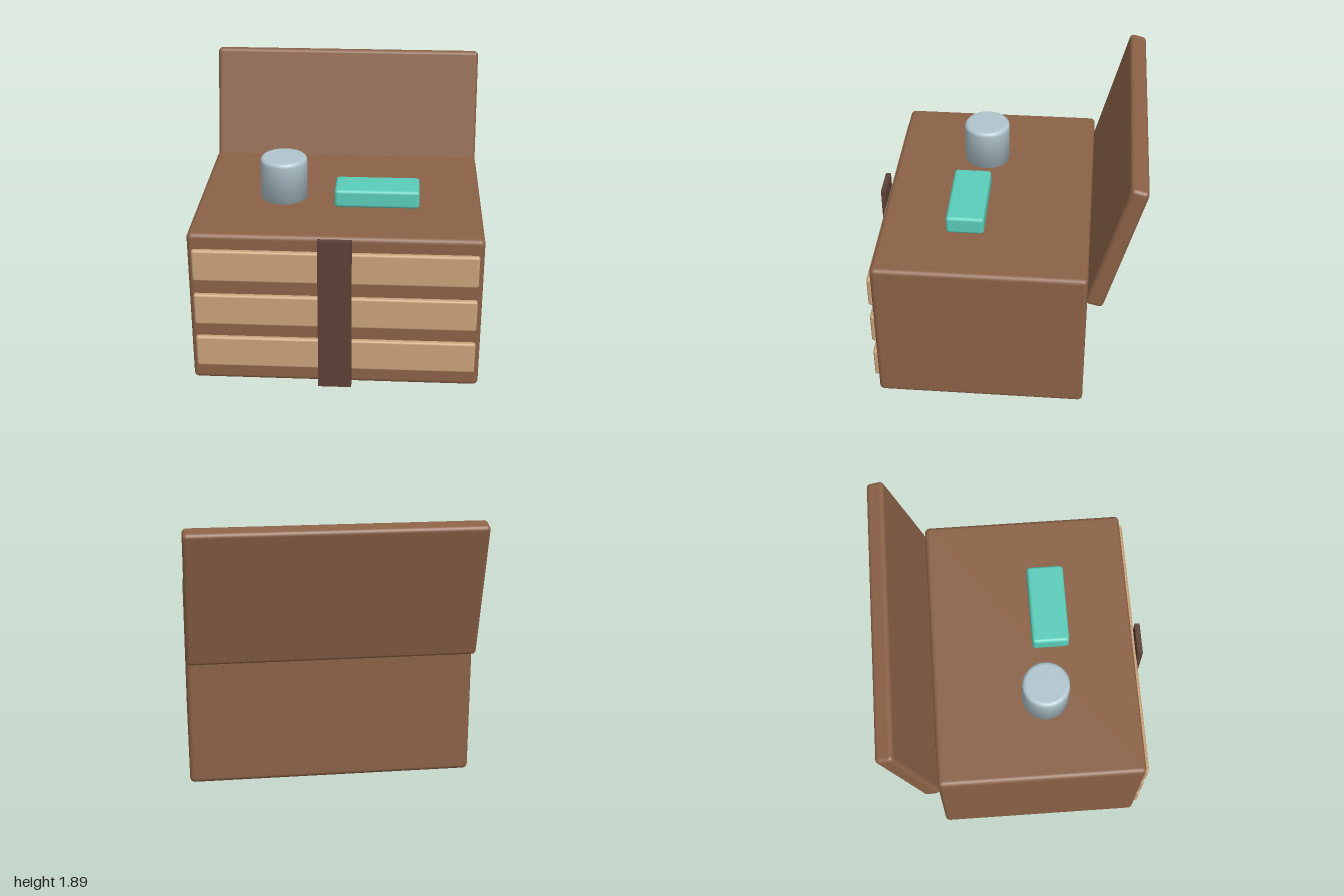
import * as THREE from 'three';
import { RoundedBoxGeometry } from 'three/addons/geometries/RoundedBoxGeometry.js';

const mat = (name, color) => {
  const m = new THREE.MeshStandardMaterial({ color });
  m.name = name;
  return m;
};

export function createModel() {
  const group = new THREE.Group();
  const wood = mat('brown wood', 0x8a6146);
  const paleWood = mat('pale wood', 0xc8a27a);
  const darkWood = mat('dark brown', 0x5d4037);
  const metal = mat('pale grey blue', 0xb0c4cc);
  const mint = mat('mint', 0x5accb9);

  const add = (name, geometry, material, x, y, z) => {
    const mesh = new THREE.Mesh(geometry, material);
    mesh.name = name;
    mesh.position.set(x, y, z);
    group.add(mesh);
    return mesh;
  };
  const rounded = (w, h, d, r) => new RoundedBoxGeometry(w, h, d, 4, r);

  // Chest body
  add('chestBody', rounded(2, 1.133, 1.464, 0.035), wood, 0, 0.5665, 0.145);

  // Open lid, leaning back from the rear edge
  const lid = add('lid', rounded(2, 0.997, 0.124, 0.03), wood, 0, 1.403, -0.757);
  lid.rotation.x = -0.26;

  // Three drawer fronts
  [0.238, 0.57, 0.907].forEach((y, i) => {
    add('drawerFront' + (i + 1), rounded(1.936, 0.234, 0.06, 0.018), paleWood, 0, y, 0.878);
  });

  // Upright strap standing just in front of the drawers
  add('frontStrap', new THREE.BoxGeometry(0.23, 1.133, 0.037), darkWood, 0, 0.5665, 0.923);

  // Canister with a rounded top rim
  const r = 0.166, h = 0.302, b = 0.03;
  const profile = new THREE.Path();
  profile.moveTo(0, 0);
  profile.lineTo(r, 0);
  profile.lineTo(r, h - b);
  profile.absarc(r - b, h - b, b, 0, Math.PI / 2, false);
  profile.lineTo(0, h);
  add('canister', new THREE.LatheGeometry(profile.getPoints(5), 40), metal, -0.4, 1.133, 0.21);

  // Small rounded block beside it
  add('smallBlock', rounded(0.594, 0.132, 0.265, 0.025), mint, 0.266, 1.2, 0.279);

  return group;
}
